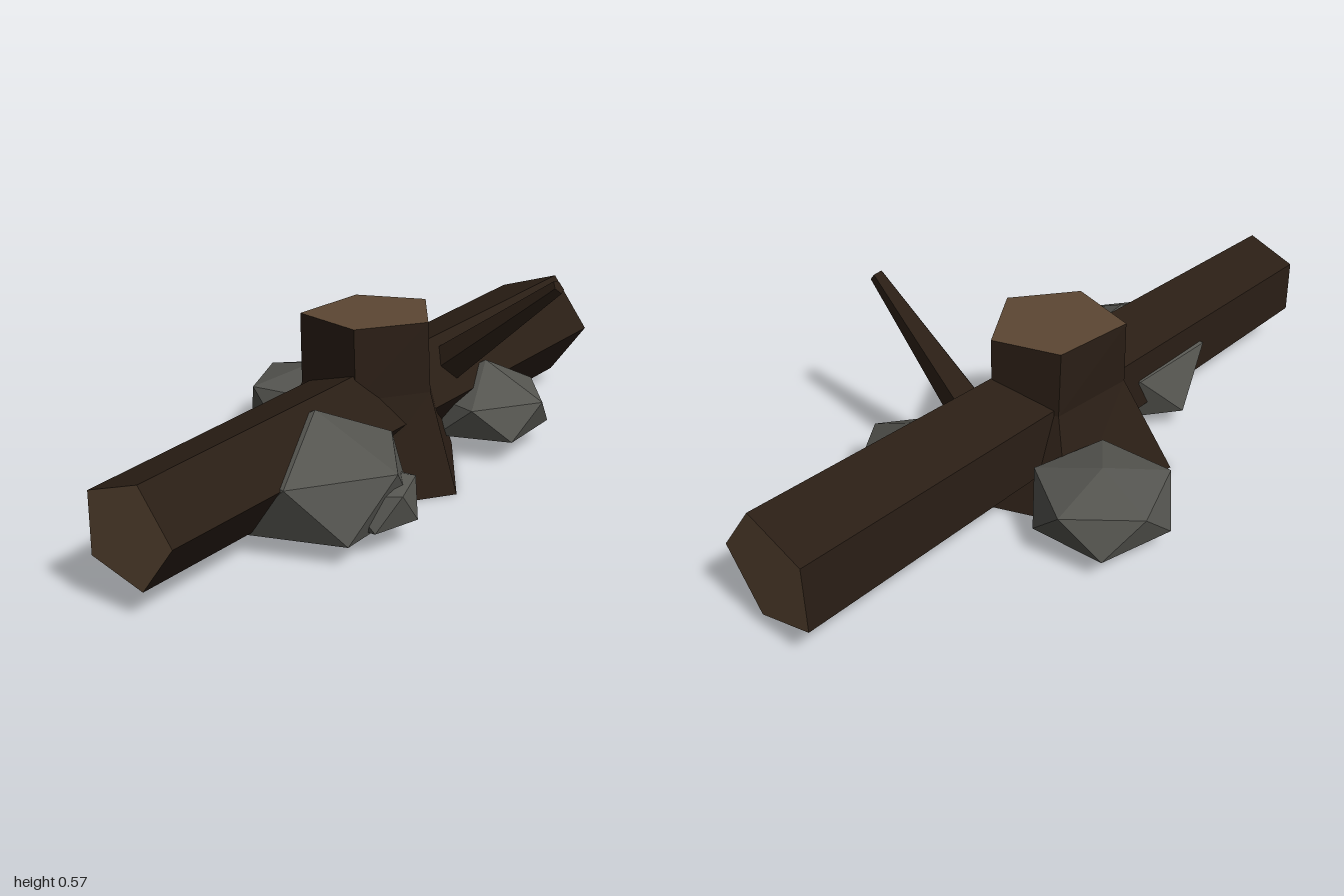
import * as THREE from 'three';
import { ConvexGeometry } from 'three/addons/geometries/ConvexGeometry.js';

const mat = (color) => new THREE.MeshStandardMaterial({ color, flatShading: true });
const bark = mat(0x2a1e15);
const cut = mat(0x5c4733);
const stone = mat(0x555550);

// Regular ring of n points around the y axis
function ring(cx, y, cz, r, rot = 0, n = 5) {
  return Array.from({ length: n }, (_, i) => {
    const a = rot + (i / n) * Math.PI * 2;
    return new THREE.Vector3(cx + r * Math.cos(a), y, cz + r * Math.sin(a));
  });
}

function toMesh(points, material, name) {
  const geometry = new THREE.BufferGeometry().setFromPoints(points);
  geometry.computeVertexNormals();
  const mesh = new THREE.Mesh(geometry, material);
  mesh.name = name;
  return mesh;
}

// Side faces joining rings from bottom to top
function sides(rings, name) {
  const pts = [];
  for (let k = 0; k < rings.length - 1; k++) {
    const a = rings[k], b = rings[k + 1], n = a.length;
    for (let i = 0; i < n; i++) {
      const j = (i + 1) % n;
      pts.push(a[i], b[i], a[j], b[i], b[j], a[j]);
    }
  }
  return toMesh(pts, bark, name);
}

// Flat end face closing a ring
function cap(points, up, material, name) {
  const pts = [];
  for (let i = 1; i < points.length - 1; i++) {
    pts.push(points[0], ...(up ? [points[i + 1], points[i]] : [points[i], points[i + 1]]));
  }
  return toMesh(pts, material, name);
}

function trunk(name, rings, bottomMaterial, topMaterial) {
  const g = new THREE.Group();
  g.name = name;
  g.add(
    sides(rings, name + 'Bark'),
    cap(rings[0], false, bottomMaterial, name + 'BottomEnd'),
    cap(rings[rings.length - 1], true, topMaterial, name + 'TopEnd')
  );
  return g;
}

// Squashed twelve-point boulder: [top, upper ring, lower ring, bottom] heights
function rock(name, x, z, r, [top, upper, lower, bottom], rot = 0) {
  const points = [
    new THREE.Vector3(x, top, z),
    ...ring(x, upper, z, r, rot),
    ...ring(x, lower, z, r, rot + Math.PI / 5),
    new THREE.Vector3(x, bottom, z),
  ];
  const mesh = new THREE.Mesh(new ConvexGeometry(points), stone);
  mesh.name = name;
  return mesh;
}

export function createModel() {
  const model = new THREE.Group();
  model.name = 'stumpWithFallenLog';

  // Flared stump, slightly irregular
  const foot = [[0.305, 0], [0.115, 0.26], [-0.245, 0.2], [-0.2, -0.19], [0.1, -0.32]];
  const waist = [[0.216, 0], [0.09, 0.175], [-0.12, 0.13], [-0.105, -0.125], [0.08, -0.195]];
  const crown = [[0.206, 0], [0.08, 0.168], [-0.13, 0.12], [-0.108, -0.118], [0.08, -0.19]];
  const level = (pts, y) => pts.map(([x, z]) => new THREE.Vector3(x, y, z));
  model.add(trunk('stump', [level(foot, 0), level(waist, 0.28), level(crown, 0.475)], bark, cut));

  // Fallen log lying along z, thicker at the back
  const log = trunk('log', [ring(0.033, -1, -0.205, 0.17), ring(0.034, 1, -0.202, 0.138)], cut, cut);
  log.rotation.x = Math.PI / 2;
  model.add(log);

  // Broken branch rising from the side of the log
  const from = new THREE.Vector3(0.09, 0.25, -0.25);
  const along = new THREE.Vector3(0.462, 0.555, -0.25).sub(from);
  const branch = new THREE.Mesh(new THREE.CylinderGeometry(0.021, 0.06, along.length(), 5), bark);
  branch.name = 'branch';
  branch.position.copy(from).addScaledVector(along, 0.5);
  branch.quaternion.setFromUnitVectors(new THREE.Vector3(0, 1, 0), along.clone().normalize());
  model.add(branch);

  // Boulders around the base
  model.add(
    rock('frontRock', 0.11, 0.385, 0.25, [0.325, 0.208, 0.056, 0.04]),
    rock('smallRock', 0.265, 0.355, 0.118, [0.19, 0.155, 0.065, 0.05], 0.3),
    rock('rightRock', -0.295, -0.16, 0.193, [0.225, 0.176, 0.064, 0.045], -0.4),
    rock('backRock', 0.175, -0.38, 0.19, [0.26, 0.165, 0.068, 0.045])
  );

  return model;
}
